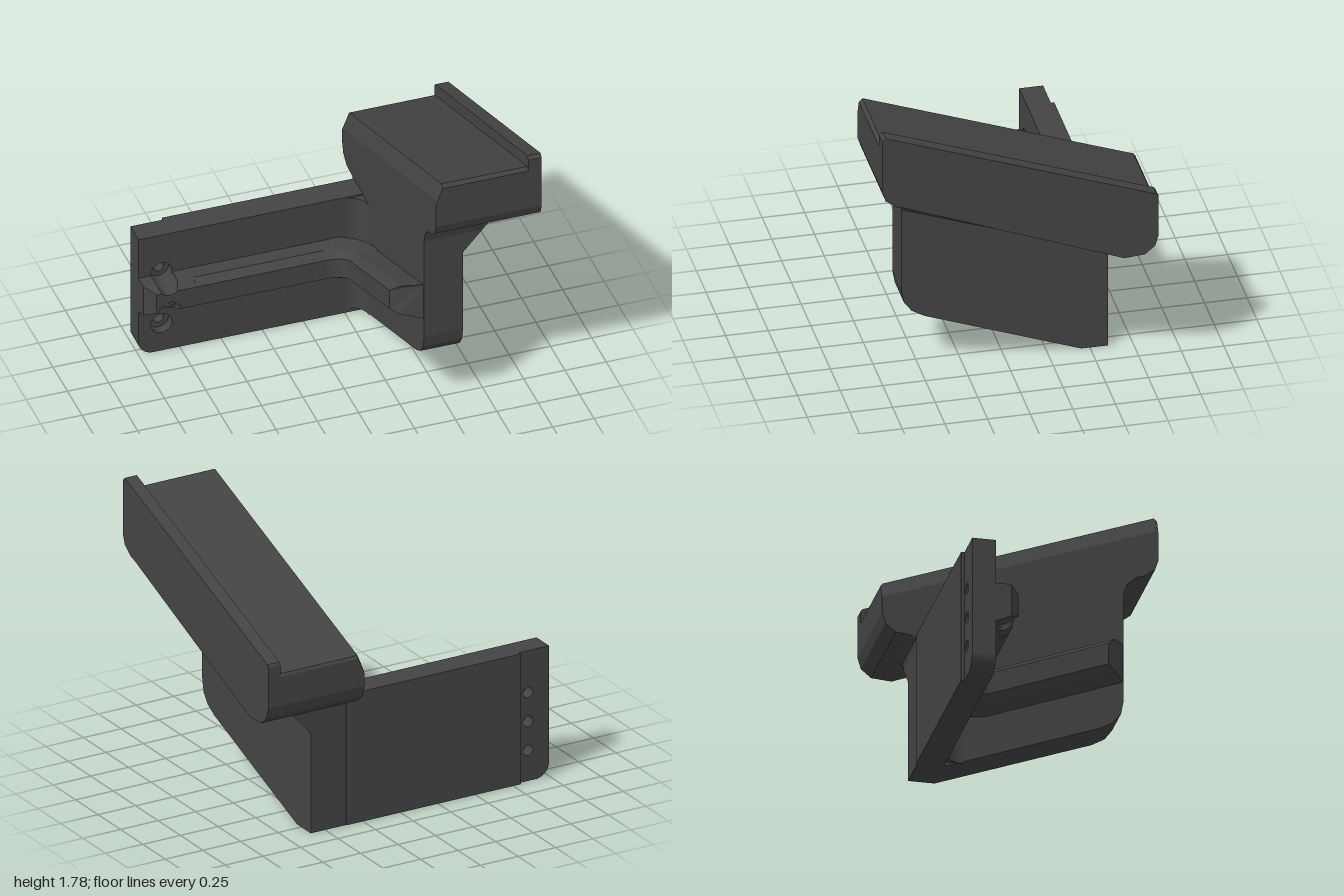
import * as THREE from 'three';

const SLOPE = 0.36;
const material = new THREE.MeshStandardMaterial({ color: 0x444444, flatShading: true });

function shapeOf(points) {
  return new THREE.Shape(points.map(([a, b]) => new THREE.Vector2(a, b)));
}

function extrude(shape, depth, curveSegments = 16) {
  return new THREE.ExtrudeGeometry(shape, { depth, bevelEnabled: false, curveSegments });
}

// Side profile given as [z, y], extruded from x0 to x1
function sideExtrude(profile, x0, x1) {
  const g = extrude(shapeOf(profile.map(([z, y]) => [-z, y])), x1 - x0);
  return g.rotateY(Math.PI / 2).translate(x0, 0, 0);
}

// Move each vertex by a rule, then rebuild normals
function reshape(g, rule) {
  const p = g.attributes.position, v = new THREE.Vector3();
  for (let i = 0; i < p.count; i++) {
    rule(v.fromBufferAttribute(p, i));
    p.setXYZ(i, v.x, v.y, v.z);
  }
  g.computeVertexNormals();
  return g;
}

// Skin closed loops of equal length; optionally cap the last one
function loft(loops, cap) {
  const n = loops[0].length, index = [];
  for (let i = 0; i < loops.length - 1; i++) {
    for (let j = 0; j < n; j++) {
      const k = (j + 1) % n, a = i * n, b = a + n;
      index.push(a + j, a + k, b + k, a + j, b + k, b + j);
    }
  }
  const last = (loops.length - 1) * n;
  if (cap) for (let j = 1; j < n - 1; j++) index.push(last, last + j, last + j + 1);
  const g = new THREE.BufferGeometry();
  g.setAttribute('position', new THREE.Float32BufferAttribute(loops.flat(2), 3));
  g.setIndex(index);
  g.computeVertexNormals();
  return g;
}

const HOLE_X = -0.86, HOLES_Y = [0.19, 0.37, 0.55], BORE = 0.065;

// Plate outline with a rounded lower corner and a column of round holes
function plateShape(holeRadius) {
  const s = new THREE.Shape();
  s.moveTo(-0.91, 0);
  s.lineTo(0.36, 0);
  s.lineTo(0.36, 0.81);
  s.lineTo(-1, 0.81);
  s.lineTo(-1, 0.09);
  s.absarc(-0.91, 0.09, 0.09, Math.PI, 1.5 * Math.PI, false);
  for (const y of HOLES_Y) {
    s.holes.push(new THREE.Path().absarc(HOLE_X, y, holeRadius, 0, Math.PI * 2, true));
  }
  return s;
}

// Outline of the drilled rail end, notched above and below by the bores
function railEndOutline(x0, y0, y1) {
  const x1 = -0.7, steps = 20, pts = [[x0, y0]];
  const edgeAngle = (d) => Math.asin(Math.max(-1, Math.min(1, d / BORE)));
  const arc = (cy, from, to) => {
    for (let i = 0; i <= steps; i++) {
      const t = from + (to - from) * i / steps;
      pts.push([HOLE_X + BORE * Math.cos(t), cy + BORE * Math.sin(t)]);
    }
  };
  const a = edgeAngle(y0 - 0.37), b = edgeAngle(y1 - 0.55);
  arc(0.37, Math.PI - a, a);
  pts.push([x1, y0], [x1, y1]);
  arc(0.55, b, -Math.PI - b);
  pts.push([x0, y1]);
  return pts;
}

// Rail swept along the plate, round the inner corner and up the wall
function railSweep() {
  const section = [[0.17, 0.54], [0.05, 0.54], [0, 0.505], [0, 0.375], [0.05, 0.34], [0.17, 0.3]];
  const R = 0.105, cx = 0.09, cz = -0.2, loops = [];
  const add = (at) => loops.push(section.map(([d, y]) => {
    const [x, z, lift] = at(d);
    return [x, y + 0.375 * Math.max(0, lift + 0.305), z];
  }));
  add((d) => [-0.7, -0.305 - d, -0.305]);
  for (let i = 0; i <= 6; i++) {
    const t = -Math.PI / 2 + (i / 6) * Math.PI / 2;
    add((d) => [cx + (R + d) * Math.cos(t), cz + (R + d) * Math.sin(t), cz + R * Math.sin(t)]);
  }
  // bevelled front end
  add((d) => {
    const z = 0.48 + Math.min(d, 0.12);
    return [cx + R + d, z, z];
  });
  return loft(loops, true);
}

// Tilted top pad profile with a chosen top height at the front
function padProfile(top) {
  return [
    [0.81, top - 0.02], [0.79, top], [-0.8, top - 0.575], [-0.81, top - 0.59], [-0.81, 0.94],
    [-0.79, 0.87], [-0.73, 0.82], [-0.61, 0.81], [0.68, 1.31], [0.73, 1.325], [0.79, 1.37], [0.81, 1.43],
  ];
}

export function createModel() {
  const model = new THREE.Group();
  const add = (name, geometry) => {
    const mesh = new THREE.Mesh(geometry, material);
    mesh.name = name;
    model.add(mesh);
  };

  // Mounting plate: small holes behind, wide bores in front, raised back
  add('plateBack', extrude(plateShape(0.033), 0.08).translate(0, 0, -0.59));
  add('plateFront', extrude(plateShape(BORE), 0.06).translate(0, 0, -0.51));
  add('plateBackStep', new THREE.BoxGeometry(1.16, 0.81, 0.02).translate(-0.22, 0.405, -0.6));

  // Rail with its drilled and chamfered end
  add('rail', railSweep());
  const layers = [[-0.455, -1, 0.3, 0.54], [-0.36, -1, 0.34, 0.54], [-0.305, -0.94, 0.375, 0.505]];
  const outlines = layers.map(([z, x0, y0, y1]) => railEndOutline(x0, y0, y1));
  add('railEnd', loft(outlines.map((o, i) => o.map(([x, y]) => [x, y, layers[i][0]])), false));
  add('railEndFace', new THREE.ShapeGeometry(shapeOf(outlines[2])).translate(0, 0, -0.305));

  // Side wall
  add('wall', sideExtrude([
    [0.605, 1.27], [0.605, 0.52], [0.59, 0.44], [0.545, 0.38], [0.47, 0.337],
    [-0.45, 0], [-0.605, 0], [-0.605, 0.85],
  ], 0.36, 0.595));

  // Concave fillet between plate and wall
  const corner = new THREE.Shape();
  corner.moveTo(0.25, 0.45);
  corner.absarc(0.25, 0.34, 0.11, Math.PI / 2, 0, true);
  corner.lineTo(0.36, 0.45);
  add('cornerFillet', extrude(corner, 0.77, 6).rotateX(-Math.PI / 2).translate(0, 0.03, 0));

  // Neck blending the wall into the pad
  add('neck', sideExtrude([
    [0.605, 1.19], [-0.605, 0.75], [-0.612, 0.79], [-0.64, 0.81], [-0.72, 0.823],
    [0.72, 1.33], [0.68, 1.31], [0.625, 1.26],
  ], 0.36, 0.71));

  // Sloping gusset under the pad
  const gusset = extrude(shapeOf([[0.59, 0.83], [0.595, 0.84], [0.8, 1.07], [0.59, 1.07]]), 1.21);
  gusset.translate(0, 0, -0.605);
  add('gusset', reshape(gusset, (v) => { v.y += SLOPE * v.z; }));

  // Tilted pad: chamfered edge, body and raised lip
  const chamfer = sideExtrude(padProfile(1.71), 0.36, 0.4);
  add('padChamfer', reshape(chamfer, (v) => {
    if (v.x < 0.38 && v.y > 1.3 + SLOPE * v.z) v.y -= 0.1;
  }));
  add('pad', sideExtrude(padProfile(1.71), 0.4, 0.92));
  add('padLip', sideExtrude(padProfile(1.785), 0.92, 1));

  return model;
}
